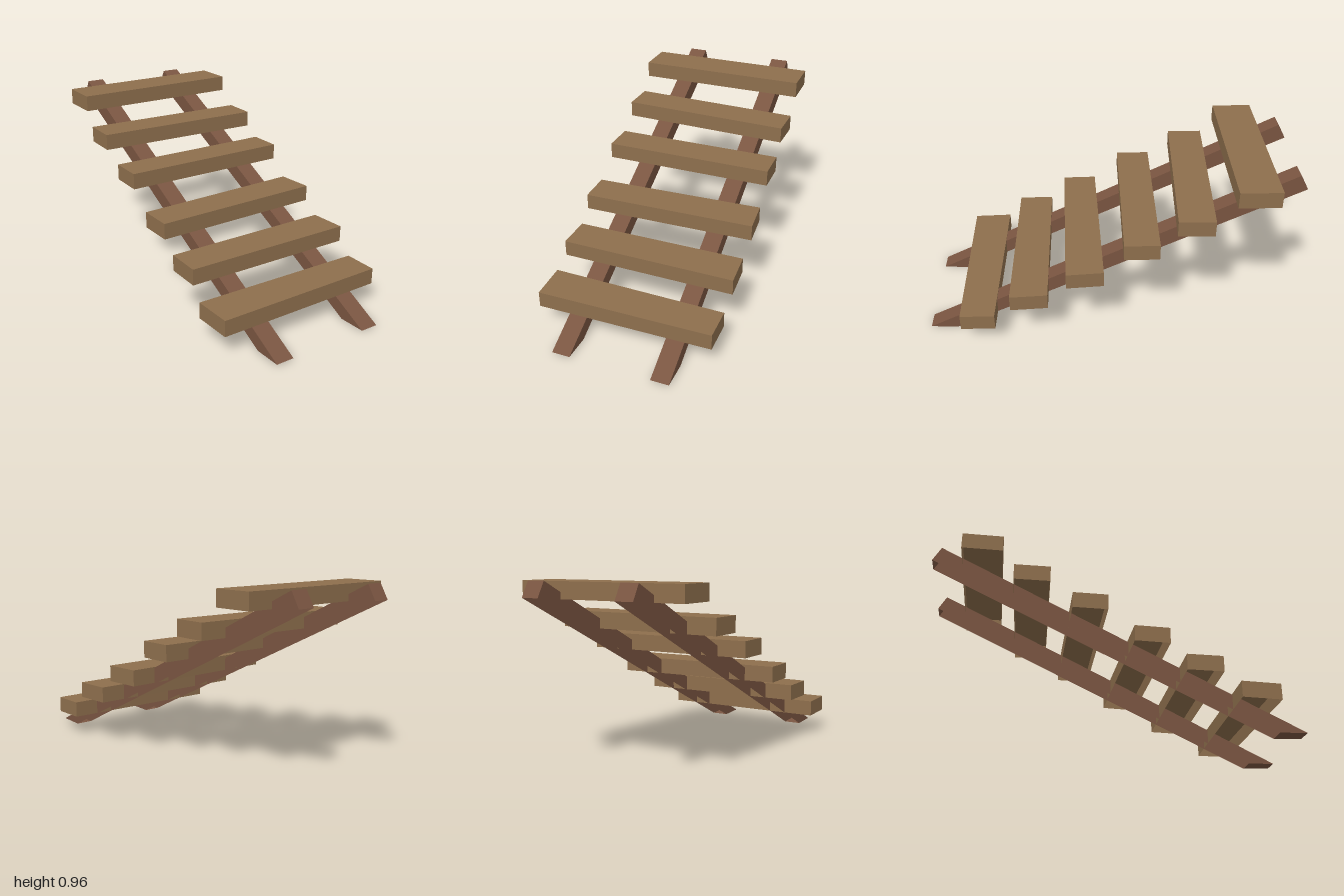
import * as THREE from 'three';

const treadWood = new THREE.MeshStandardMaterial({ name: 'tread wood', color: 0x8e6f4d, side: THREE.DoubleSide });
const railWood = new THREE.MeshStandardMaterial({ name: 'rail wood', color: 0x7a5541, side: THREE.DoubleSide });

// A box without its underside; place(right, top, front) gives each corner's position.
function openBox(name, material, place) {
  const box = new THREE.BoxGeometry(1, 1, 1);
  const index = Array.from(box.index.array);
  index.splice(18, 6); // the underside
  box.setIndex(index);
  box.clearGroups();
  const pos = box.attributes.position;
  for (let i = 0; i < pos.count; i++) {
    pos.setXYZ(i, ...place(pos.getX(i) > 0, pos.getY(i) > 0, pos.getZ(i) > 0));
  }
  const geometry = box.toNonIndexed();
  geometry.computeVertexNormals();
  const mesh = new THREE.Mesh(geometry, material);
  mesh.name = name;
  return mesh;
}

// Each tread: bottom y, then plan corners [x, z]: -x back, +x back, +x front, -x front
const treads = [
  [0.115, [-0.485, 0.605], [0.47, 0.62], [0.47, 0.805], [-0.476, 0.815]],
  [0.254, [-0.47, 0.333], [0.47, 0.33], [0.482, 0.53], [-0.47, 0.525]],
  [0.396, [-0.475, 0.065], [0.467, 0.032], [0.482, 0.23], [-0.47, 0.252]],
  [0.567, [-0.47, -0.255], [0.47, -0.255], [0.47, -0.07], [-0.47, -0.07]],
  [0.707, [-0.472, -0.563], [0.472, -0.527], [0.466, -0.338], [-0.475, -0.373]],
  [0.873, [-0.47, -0.84], [0.47, -0.84], [0.47, -0.625], [-0.47, -0.625]],
];
const TREAD_HEIGHT = 0.087;
const RAIL_WIDTH = 0.098;

export function createModel() {
  const model = new THREE.Group();
  model.name = 'stairs';

  // Sloping rails, cut flat at the foot and square at the head
  for (const [name, x] of [['rightRail', -0.26], ['leftRail', 0.277]]) {
    model.add(openBox(name, railWood, (right, top, front) => {
      const [z, y] = front
        ? (top ? [1, 0.006] : [0.85, 0])
        : (top ? [-0.955, 0.965] : [-1, 0.885]);
      return [x + (right ? 0.5 : -0.5) * RAIL_WIDTH, y, z];
    }));
  }

  // Slightly crooked planks
  treads.forEach(([y, rb, lb, lf, rf], i) => {
    model.add(openBox(`tread${i + 1}`, treadWood, (right, top, front) => {
      const [x, z] = front ? (right ? lf : rf) : (right ? lb : rb);
      return [x, y + (top ? TREAD_HEIGHT : 0), z];
    }));
  });

  return model;
}
